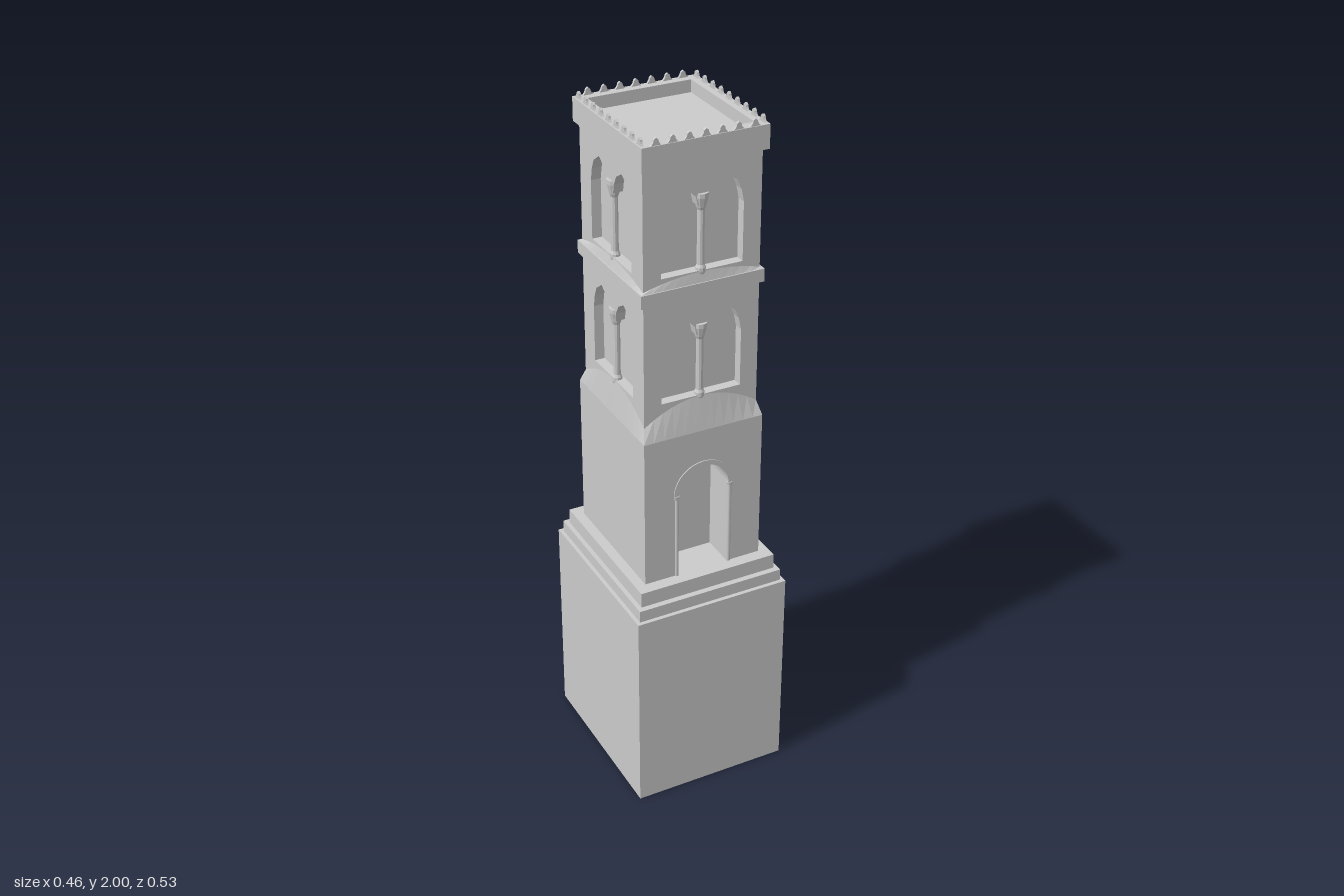
import * as THREE from 'three';

const mat = new THREE.MeshStandardMaterial({ color: 0xcccccc, flatShading: true });
const matSmooth = new THREE.MeshStandardMaterial({ color: 0xcccccc });
const matDouble = new THREE.MeshStandardMaterial({ color: 0xcccccc, flatShading: true, side: THREE.DoubleSide });

function add(parent, name, geo, x = 0, y = 0, z = 0, m = mat) {
  const mesh = new THREE.Mesh(geo, m);
  mesh.name = name;
  mesh.position.set(x, y, z);
  parent.add(mesh);
  return mesh;
}

// Block given by half width, half depth and its bottom and top heights
const block = (parent, name, hx, hz, y0, y1) =>
  add(parent, name, new THREE.BoxGeometry(hx * 2, y1 - y0, hz * 2), 0, (y0 + y1) / 2, 0);

const rect = (hx, y0, y1, C = THREE.Shape) => new C([
  [-hx, y0], [hx, y0], [hx, y1], [-hx, y1]].map(p => new THREE.Vector2(...p)));

const extrude = (shape, depth, curveSegments = 12) =>
  new THREE.ExtrudeGeometry(shape, { depth, bevelEnabled: false, curveSegments });

// Sloping collar whose upper edge rises to an arch in the middle of each side
function collar(parent, name, bottom, top, y0, y1, rise) {
  const n = 12, pos = [], idx = [];
  for (let s = 0; s < 4; s++) {
    const a = s * Math.PI / 2, swap = s % 2;
    const put = (h, u, y) => {
      const half = h[swap], out = h[1 - swap];
      pos.push(half * u * Math.cos(a) + out * Math.sin(a), y, -half * u * Math.sin(a) + out * Math.cos(a));
    };
    for (let i = 0; i <= n; i++) {
      const u = i / n * 2 - 1, k = s * (n + 1) * 2 + i * 2;
      put(bottom, u, y0);
      put(top, u, y1 + rise * (1 - u * u));
      if (i < n) idx.push(k, k + 2, k + 3, k, k + 3, k + 1);
    }
  }
  const g = new THREE.BufferGeometry();
  g.setAttribute('position', new THREE.Float32BufferAttribute(pos, 3));
  g.setIndex(idx);
  g.computeVertexNormals();
  add(parent, name, g, 0, 0, 0, matDouble);
}

// Outline of a pair of pointed arches meeting over a central column
function twinArch(sill) {
  const half = [[0.015, 0.18], [0.02, 0.205], [0.035, 0.232], [0.066, 0.25],
    [0.098, 0.228], [0.11, 0.2], [0.117, 0.165], [0.117, 0]];
  const pts = [...half.map(([x, y]) => [-x, y]).reverse(), ...half];
  return new THREE.Path(pts.map(([x, y]) => new THREE.Vector2(x, sill + y)));
}

function columnGeometry() {
  const profile = [[0, -0.03], [0.006, -0.03], [0.014, -0.005], [0.014, 0.006], [0.01, 0.014],
    [0.01, 0.165], [0.013, 0.172], [0.02, 0.2], [0.02, 0.212], [0, 0.212]];
  return new THREE.LatheGeometry(profile.map(p => new THREE.Vector2(...p)), 10);
}

// Belfry storey: four pierced walls around a solid core
function storey(parent, name, hx, hz, y0, y1, sill) {
  const g = new THREE.Group(), depth = 0.028;
  g.name = name;
  block(g, 'core', hx - depth, hz - depth, y0, y1);
  for (let s = 0; s < 4; s++) {
    const side = new THREE.Group(), swap = s % 2;
    side.name = 'windowWall';
    side.rotation.y = s * Math.PI / 2;
    const out = swap ? hx : hz;
    const wall = rect(swap ? hz - depth : hx, y0, y1);
    wall.holes.push(twinArch(sill));
    add(side, 'wall', extrude(wall, depth), 0, 0, out - depth);
    add(side, 'windowColumn', columnGeometry(), 0, sill, out - 0.01);
    g.add(side);
  }
  parent.add(g);
}

function merlonShape() {
  const s = new THREE.Shape();
  s.moveTo(-0.016, 0);
  s.lineTo(0.016, 0);
  s.quadraticCurveTo(0.007, 0.006, 0.006, 0.016);
  s.lineTo(0, 0.021);
  s.lineTo(-0.006, 0.016);
  s.quadraticCurveTo(-0.007, 0.006, -0.016, 0);
  return s;
}

export function createModel() {
  const tower = new THREE.Group();
  tower.name = 'bellTower';

  // Plinth, open underneath, and its two steps
  const plinth = new THREE.BoxGeometry(0.464, 0.625, 0.53);
  const faces = Array.from(plinth.index.array);
  plinth.setIndex([...faces.slice(0, 18), ...faces.slice(24)]);
  plinth.clearGroups();
  add(tower, 'plinth', plinth, 0, 0.3125, 0, matDouble);
  block(tower, 'lowerStep', 0.221, 0.253, 0.625, 0.66);
  block(tower, 'upperStep', 0.208, 0.236, 0.66, 0.705);

  // Shaft: solid rear and a front wall with an arched doorway
  const recess = 0.1, y0 = 0.705, spring = 0.965, r = 0.076;
  add(tower, 'shaftRear', new THREE.BoxGeometry(0.356, 1.15 - y0, 0.4 - recess), 0, (1.15 + y0) / 2, -recess / 2);
  const front = new THREE.Shape();
  front.moveTo(-0.178, y0);
  front.lineTo(-r, y0);
  front.lineTo(-r, spring);
  front.absarc(0, spring, r, Math.PI, 0, true);
  front.lineTo(r, y0);
  front.lineTo(0.178, y0);
  front.lineTo(0.178, 1.15);
  front.lineTo(-0.178, 1.15);
  add(tower, 'shaftFront', extrude(front, recess, 20), 0, 0, 0.2 - recess);

  // Door surround: arch moulding on two slender columns
  const arch = new THREE.Shape();
  arch.absarc(0, spring, 0.09, 0, Math.PI, false);
  arch.absarc(0, spring, r, Math.PI, 0, true);
  add(tower, 'doorArch', extrude(arch, 0.012, 20), 0, 0, 0.191);
  for (const s of [-1, 1]) {
    add(tower, 'doorColumn', new THREE.CylinderGeometry(0.006, 0.006, 0.25, 10), s * 0.081, y0 + 0.125, 0.199, matSmooth);
    add(tower, 'doorCapital', new THREE.CylinderGeometry(0.009, 0.006, 0.015, 10), s * 0.082, spring - 0.0075, 0.198);
  }

  // Belfry storeys with collars and the dividing cornice
  collar(tower, 'shaftCollar', [0.178, 0.2], [0.168, 0.181], 1.15, 1.19, 0.058);
  storey(tower, 'lowerBelfry', 0.168, 0.181, 1.15, 1.55, 1.25);
  block(tower, 'cornice', 0.178, 0.19, 1.545, 1.582);
  collar(tower, 'corniceCollar', [0.174, 0.187], [0.168, 0.181], 1.582, 1.586, 0.024);
  storey(tower, 'upperBelfry', 0.168, 0.181, 1.582, 1.92, 1.613);

  // Hollow parapet around the sunken roof
  const rim = rect(0.178, -0.198, 0.198);
  rim.holes.push(rect(0.149, -0.168, 0.168, THREE.Path));
  add(tower, 'parapet', extrude(rim, 0.066), 0, 1.914, 0).rotation.x = -Math.PI / 2;
  block(tower, 'roof', 0.15, 0.169, 1.915, 1.945);

  // Merlons along the outer edge
  const merlon = extrude(merlonShape(), 0.007, 4).translate(0, 0, -0.0035);
  for (const s of [-1, 1]) {
    for (let i = -3; i <= 3; i++) add(tower, 'merlon', merlon, i * 0.0457, 1.979, s * 0.192);
    for (let i = -4; i <= 4; i++) add(tower, 'merlon', merlon, s * 0.17, 1.979, i * 0.0437).rotation.y = Math.PI / 2;
  }
  return tower;
}
